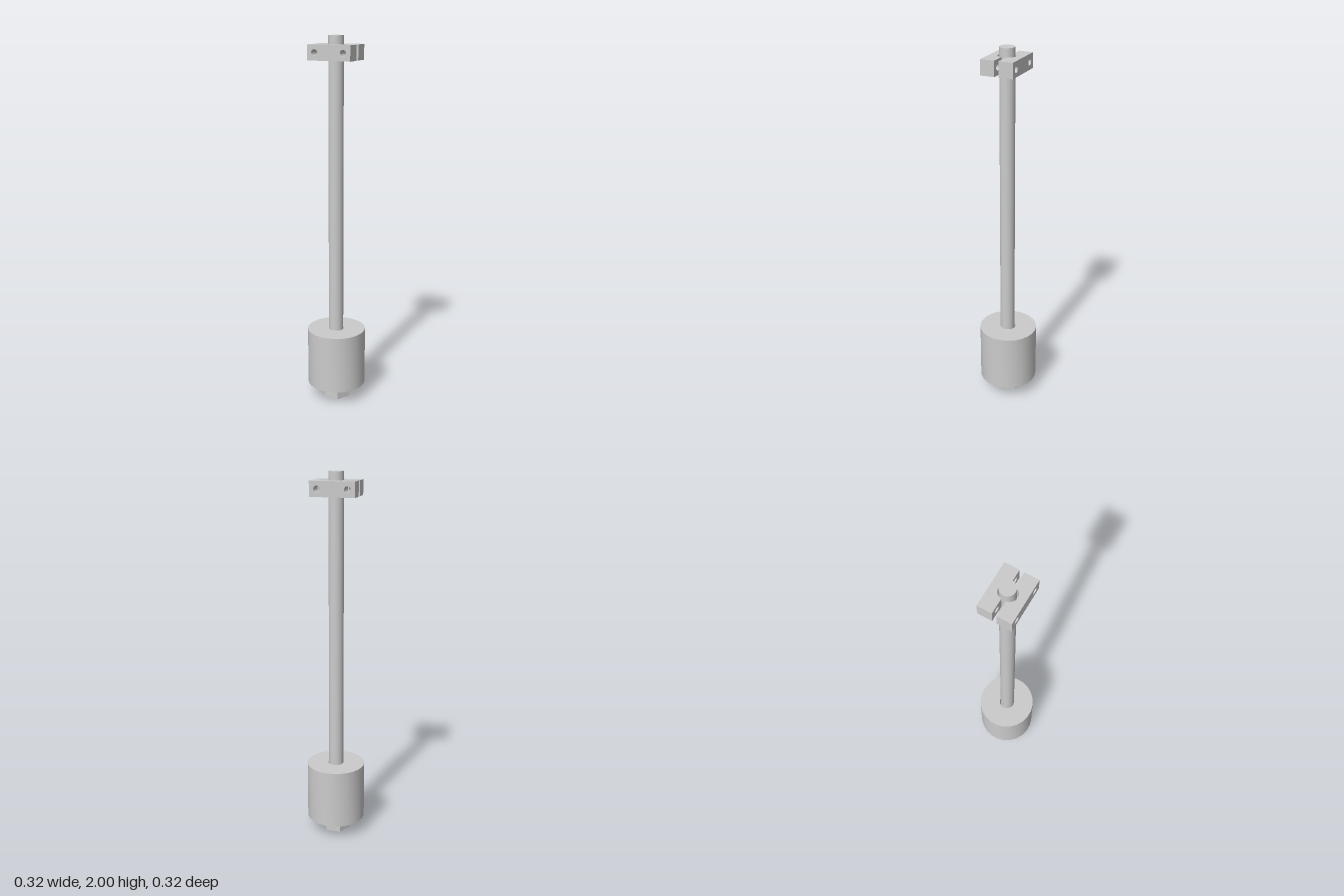
import * as THREE from 'three';
import { mergeGeometries, toCreasedNormals } from 'three/addons/utils/BufferGeometryUtils.js';

const material = new THREE.MeshStandardMaterial({ color: 0xcccccc });
const clampMaterial = new THREE.MeshStandardMaterial({ color: 0xcccccc, side: THREE.DoubleSide });
const ROD_Z = 0.005;

function part(name, geometry, x, y, z, mat = material) {
  const mesh = new THREE.Mesh(geometry, mat);
  mesh.name = name;
  mesh.position.set(x, y, z);
  return mesh;
}

// Half of the clamp: a block with a curved rod recess and two screw holes
function clampGeometry() {
  const W = 0.12, H = 0.04, zIn = 0.0115, zOut = 0.0875;
  const R = 0.04, arcZ = 0.0075, holeX = 0.08, holeR = 0.017;
  const a = Math.asin((zIn - arcZ) / R), xh = R * Math.cos(a);
  const depth = zOut - zIn, zMid = (zOut + zIn) / 2;

  // Upright rectangle pierced by screw holes
  const plate = (x0, x1, holes) => {
    const s = new THREE.Shape();
    s.moveTo(x0, -H).lineTo(x1, -H).lineTo(x1, H).lineTo(x0, H).closePath();
    for (const x of holes) s.holes.push(new THREE.Path().absarc(x, 0, holeR, 0, Math.PI * 2, true));
    return new THREE.ShapeGeometry(s, 12);
  };
  // Plan outline with the recess; s mirrors it for the upper face
  const plan = (s) => {
    const shape = new THREE.Shape();
    shape.moveTo(-W, s * zIn).lineTo(-W, s * zOut).lineTo(W, s * zOut).lineTo(W, s * zIn).lineTo(xh, s * zIn);
    shape.absarc(0, s * arcZ, R, s * a, s * (Math.PI - a), s < 0);
    return new THREE.ShapeGeometry(shape, 24);
  };

  const faces = [
    plate(-W, W, [-holeX, holeX]).translate(0, 0, zOut),
    plan(-1).rotateX(-Math.PI / 2).translate(0, H, 0),
    plan(1).rotateX(Math.PI / 2).translate(0, -H, 0),
    new THREE.CylinderGeometry(R, R, 2 * H, 24, 1, true, a - Math.PI / 2, Math.PI - 2 * a).translate(0, 0, arcZ),
  ];
  for (const s of [-1, 1]) {
    faces.push(
      plate(Math.min(s * xh, s * W), Math.max(s * xh, s * W), [s * holeX]).rotateY(Math.PI).translate(0, 0, zIn),
      new THREE.PlaneGeometry(depth, 2 * H).rotateY(s * Math.PI / 2).translate(s * W, 0, zMid),
      new THREE.CylinderGeometry(holeR, holeR, depth, 24, 1, true).rotateX(Math.PI / 2).translate(s * holeX, 0, zMid),
    );
  }
  return mergeGeometries(faces);
}

export function createModel() {
  const model = new THREE.Group();
  model.name = 'weightedRod';

  // Long rod and its hexagonal bolt head
  model.add(part('rod', new THREE.CylinderGeometry(0.04, 0.04, 1.94, 32), 0, 1.03, ROD_Z));
  const hex = new THREE.CylinderGeometry(0.08, 0.08, 0.08, 6).rotateY(Math.PI / 6);
  model.add(part('boltHead', toCreasedNormals(hex, 0.5), 0, 0.04, ROD_Z));

  // Bored cylindrical weight
  const profile = [[0.042, 0.08], [0.16, 0.08], [0.16, 0.4], [0.042, 0.4], [0.042, 0.08]]
    .map(([r, y]) => new THREE.Vector2(r, y));
  const weight = new THREE.LatheGeometry(profile, 24, Math.PI / 24);
  model.add(part('weight', toCreasedNormals(weight, 0.6), 0, 0, 0));

  // Two clamp halves facing each other across the rod
  const clamp = clampGeometry();
  const front = part('clampFront', clamp, 0, 1.915, 0.0075, clampMaterial);
  const back = part('clampBack', clamp, 0, 1.915, 0.0075, clampMaterial);
  back.rotation.y = Math.PI;
  model.add(front, back);

  return model;
}
